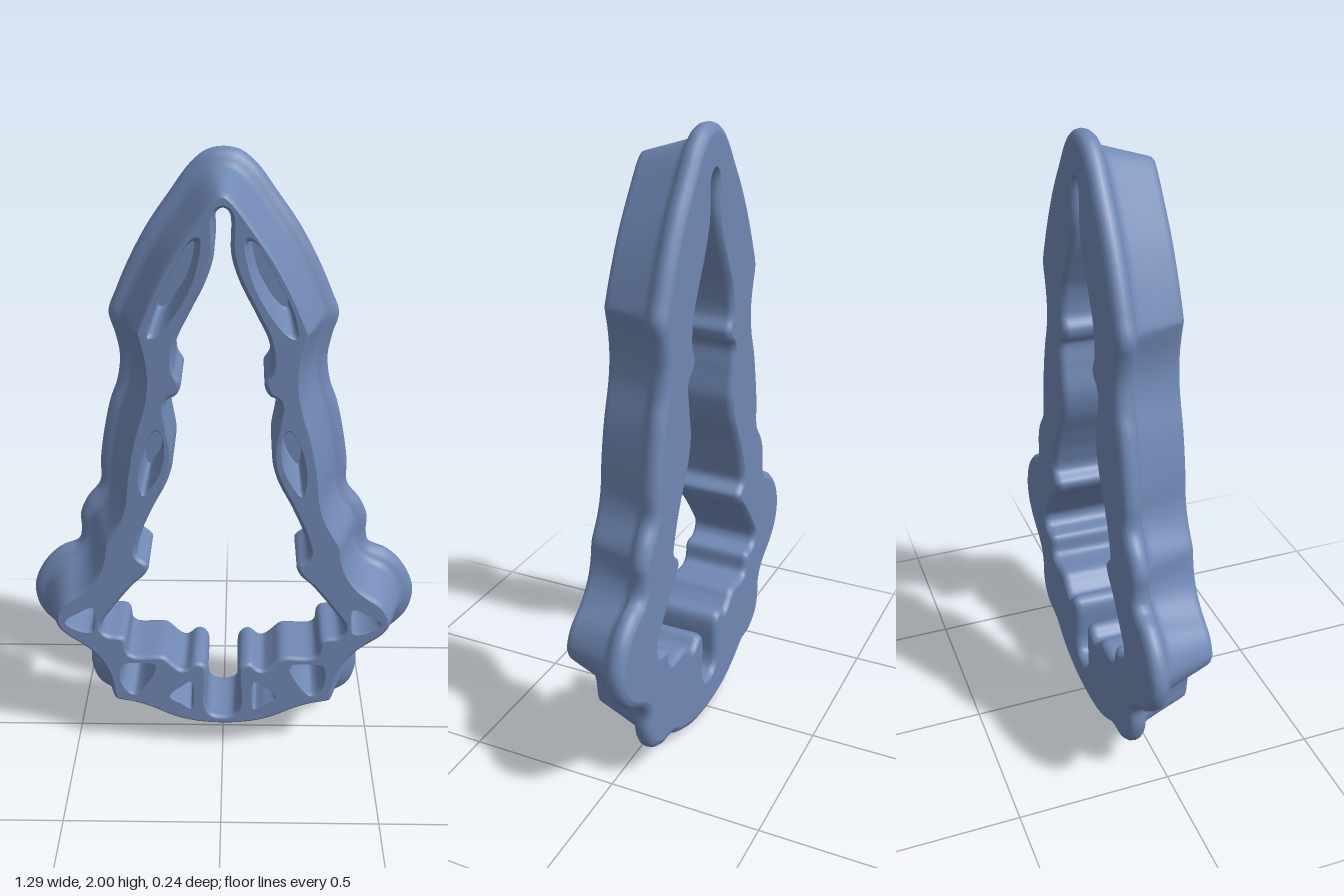
import * as THREE from 'three';

const BACK = -0.12, FRONT = 0.12, FLOOR = -0.05;

// Right halves of the outlines, top to bottom
const OUTER = [[0, 2], [0.05, 1.99], [0.1, 1.95], [0.16, 1.87], [0.23, 1.77], [0.29, 1.66], [0.33, 1.57],
  [0.355, 1.5], [0.337, 1.43], [0.325, 1.36], [0.335, 1.28], [0.36, 1.21], [0.385, 1.1], [0.4, 1],
  [0.405, 0.92], [0.45, 0.86], [0.475, 0.8], [0.475, 0.74], [0.487, 0.7], [0.55, 0.67], [0.61, 0.61],
  [0.645, 0.52], [0.63, 0.44], [0.57, 0.37], [0.5, 0.325], [0.465, 0.28], [0.465, 0.21], [0.44, 0.14],
  [0.38, 0.1], [0.3, 0.09], [0.25, 0.06], [0.15, 0.02], [0, 0.003]];
const INNER = [[0, 1.865], [0.02, 1.85], [0.025, 1.73], [0.05, 1.65], [0.1, 1.55], [0.137, 1.47],
  [0.145, 1.38], [0.125, 1.34], [0.14, 1.3], [0.172, 1.28], [0.165, 1.2], [0.152, 1.1], [0.17, 1.02],
  [0.22, 0.92], [0.262, 0.82], [0.275, 0.75], [0.238, 0.715], [0.25, 0.68], [0.29, 0.64], [0.36, 0.55],
  [0.4, 0.485], [0.385, 0.452], [0.325, 0.44], [0.308, 0.375], [0.195, 0.368], [0.165, 0.34],
  [0.13, 0.315], [0.09, 0.345], [0.056, 0.33], [0.052, 0.17], [0.035, 0.137], [0, 0.13]];

// Hollows between the outer and inner walls, on the +x side
const POCKETS = {
  upperPocket: [[0.065, 1.78], [0.072, 1.7], [0.11, 1.6], [0.19, 1.49], [0.22, 1.48], [0.212, 1.55], [0.16, 1.66], [0.085, 1.78]],
  middlePocket: [[0.187, 1.18], [0.18, 1.1], [0.2, 1.03], [0.248, 0.965], [0.262, 1.02], [0.245, 1.12], [0.205, 1.19]],
  finPocket: [[0.425, 0.555], [0.428, 0.465], [0.47, 0.465], [0.52, 0.5], [0.475, 0.535]],
  outerEnginePocket: [[0.225, 0.335], [0.285, 0.343], [0.335, 0.335], [0.34, 0.26], [0.3, 0.215], [0.25, 0.265]],
  innerEnginePocket: [[0.105, 0.27], [0.14, 0.25], [0.18, 0.21], [0.14, 0.18], [0.105, 0.16]],
};

const mirrorPoints = pts => pts.map(([x, y]) => [-x, y]);
const wholeOutline = half => [...half, ...mirrorPoints(half.slice(1, -1)).reverse()];

// Closed smooth loop, evenly spaced and counter-clockwise
function smoothLoop(pts, count) {
  const curve = new THREE.CatmullRomCurve3(pts.map(([x, y]) => new THREE.Vector3(x, y, 0)), true, 'centripetal');
  curve.arcLengthDivisions = 1500;
  const loop = curve.getSpacedPoints(count).slice(0, count).map(p => new THREE.Vector2(p.x, p.y));
  return THREE.ShapeUtils.isClockWise(loop) ? loop.reverse() : loop;
}

// Shrinks (or grows, if negative) a loop in small relaxed steps so that it never folds
function inset(loop, amount) {
  const steps = Math.max(1, Math.ceil(Math.abs(amount) / 0.004)), n = loop.length;
  let cur = loop;
  for (let s = 0; s < steps && amount !== 0; s++) {
    cur = cur.map((p, i) => {
      const a = cur[(i + n - 1) % n], b = cur[(i + 1) % n];
      const t = b.clone().sub(a).normalize();
      const mid = a.clone().add(b).multiplyScalar(0.5);
      return p.clone().lerp(mid, 0.3).add(new THREE.Vector2(-t.y, t.x).multiplyScalar(amount / steps));
    });
  }
  return cur;
}

// Skin through rings of equal length; back-to-front rings face outwards, front-to-back inwards
function skin(rings) {
  const n = rings[0].loop.length, pos = [], index = [];
  rings.forEach(({ loop, z }) => loop.forEach(p => pos.push(p.x, p.y, z)));
  for (let i = 0; i < rings.length - 1; i++) {
    for (let j = 0; j < n; j++) {
      const k = (j + 1) % n, a = i * n + j, b = i * n + k, c = b + n, d = a + n;
      index.push(a, b, c, a, c, d);
    }
  }
  const g = new THREE.BufferGeometry();
  g.setAttribute('position', new THREE.Float32BufferAttribute(pos, 3));
  g.setIndex(index);
  g.computeVertexNormals();
  return g;
}

function cap(loop, holes, z) {
  const shape = new THREE.Shape(loop);
  shape.holes = holes.map(h => new THREE.Path(h));
  return new THREE.ShapeGeometry(shape).translate(0, 0, z);
}

export function createModel() {
  const group = new THREE.Group();
  const material = new THREE.MeshStandardMaterial({ color: 0x7088b4, side: THREE.DoubleSide });
  const add = (name, geometry) => {
    const mesh = new THREE.Mesh(geometry, material);
    mesh.name = name;
    group.add(mesh);
  };
  const ringsOf = (loop, profile) => profile.map(([d, z]) => ({ loop: inset(loop, d), z }));

  // Rounded flange at the back running into the tapered outer wall
  const outer = ringsOf(smoothLoop(wholeOutline(OUTER), 420), [
    [0.026, BACK], [0.012, -0.115], [0.003, -0.104], [0, -0.088], [0.004, -0.072], [0.014, -0.06],
    [0.03, -0.053], [0.044, -0.045], [0.052, -0.025], [0.072, 0.04], [0.09, 0.1], [0.095, 0.113], [0.103, FRONT]]);
  add('flangeAndOuterWall', skin(outer));

  // Straight inner wall with rounded edges
  const inner = ringsOf(smoothLoop(wholeOutline(INNER), 420), [
    [-0.012, FRONT], [-0.004, 0.116], [0, 0.106], [0, -0.098], [-0.005, -0.113], [-0.016, BACK]]);
  add('innerWall', skin(inner));

  // Pockets on both sides, narrowing to a closed floor
  const mouths = [];
  for (const [name, pts] of Object.entries(POCKETS)) {
    for (const [side, p] of [['left', pts], ['right', mirrorPoints(pts)]]) {
      const loop = smoothLoop(p, 60);
      const centre = loop.reduce((s, v) => s.add(v), new THREE.Vector2()).divideScalar(60);
      const rings = [[1, FRONT], [0.95, 0.114], [0.91, 0.1], [0.78, -0.03], [0.68, FLOOR]].map(([k, z]) => ({
        loop: loop.map(v => centre.clone().lerp(v, k)), z }));
      mouths.push(loop);
      add(`${side}_${name}`, skin(rings));
      add(`${side}_${name}Floor`, cap(rings.at(-1).loop, [], FLOOR));
    }
  }

  // Front rim with pocket mouths, and the plain back
  add('frontRim', cap(outer.at(-1).loop, [inner[0].loop, ...mouths], FRONT));
  add('backFace', cap(outer[0].loop, [inner.at(-1).loop], -BACK).rotateY(Math.PI));
  return group;
}
